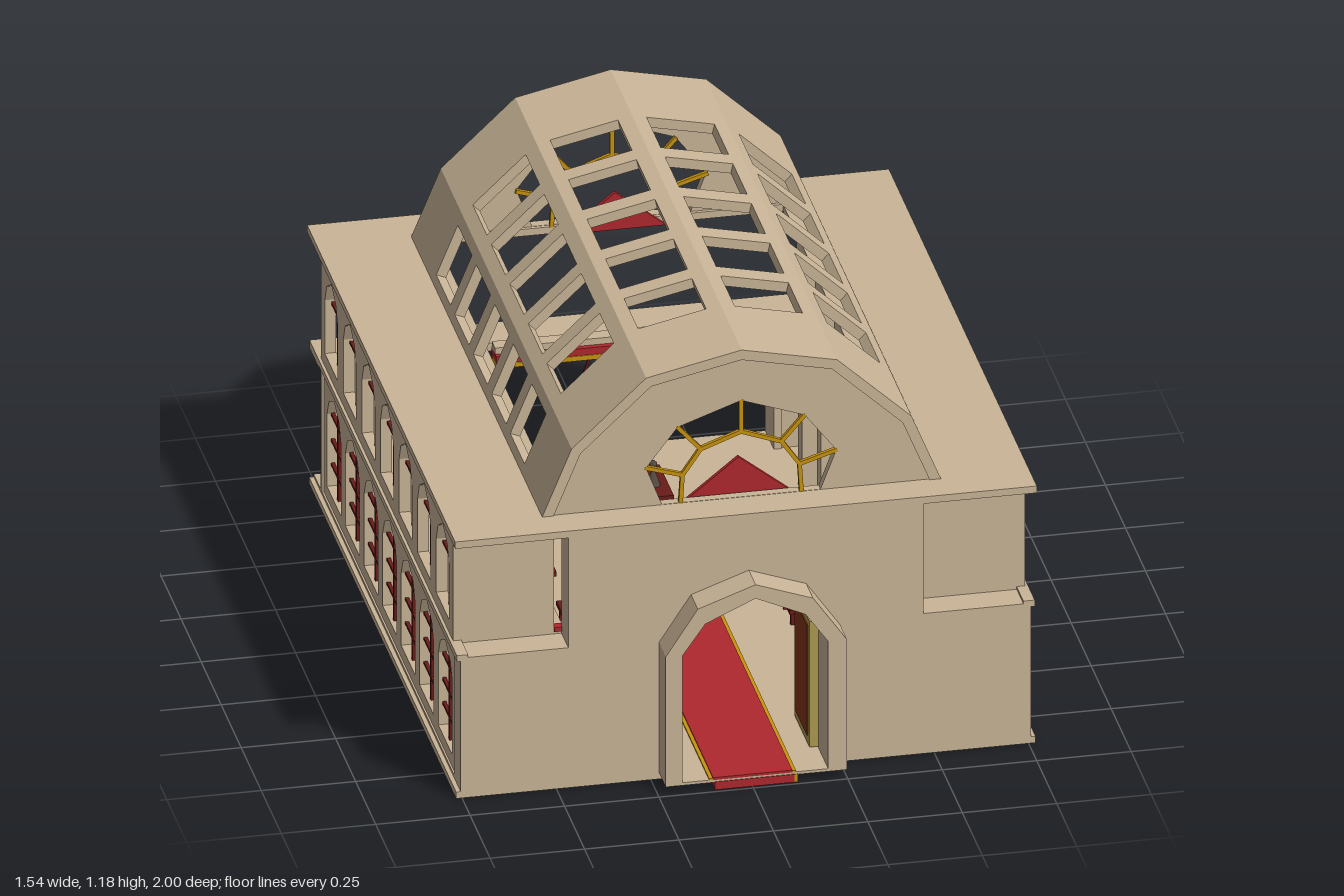
import * as THREE from 'three';

const mat = (name, color) => Object.assign(new THREE.MeshStandardMaterial({ color }), { name });

export function createModel() {
  const root = new THREE.Group();
  root.name = 'greatHall';
  const stone = mat('stone', 0xcbb698), red = mat('red', 0xb0282e), darkRed = mat('darkRed', 0x6a1c1a),
    gold = mat('gold', 0xc8940f), wood = mat('wood', 0x843418), brass = mat('brass', 0xb09a50),
    iron = mat('iron', 0x54493f);

  const add = (name, geo, m, parent = root) => {
    const mesh = new THREE.Mesh(geo, m);
    mesh.name = name;
    parent.add(mesh);
    return mesh;
  };
  // Box given by its lower and upper limits on each axis
  const box = (name, m, x0, x1, y0, y1, z0, z1, parent = root) => {
    const g = new THREE.BoxGeometry(x1 - x0, y1 - y0, z1 - z0);
    g.translate((x0 + x1) / 2, (y0 + y1) / 2, (z0 + z1) / 2);
    return add(name, g, m, parent);
  };
  const pts = a => a.map(p => new THREE.Vector2(p[0], p[1]));
  const shape = (outline, holes = []) => {
    const s = new THREE.Shape(pts(outline));
    holes.forEach(h => s.holes.push(new THREE.Path(pts(h))));
    return s;
  };
  const rect = (x0, x1, y0, y1) => [[x0, y0], [x1, y0], [x1, y1], [x0, y1]];
  const extrude = (s, depth) => new THREE.ExtrudeGeometry(s, { depth, bevelEnabled: false });
  // Faceted pointed arch
  const arch = (c, w, y0, spring, top) => [[c - w, y0], [c + w, y0], [c + w, spring],
    [c + w * 0.72, spring + (top - spring) * 0.6], [c, top],
    [c - w * 0.72, spring + (top - spring) * 0.6], [c - w, spring]];
  // Bar between two points of an xy plane
  const bar = (name, m, a, b, z, w, parent = root) => {
    const mesh = add(name, new THREE.BoxGeometry(Math.hypot(b[0] - a[0], b[1] - a[1]) + w * 0.5, w, w), m, parent);
    mesh.position.set((a[0] + b[0]) / 2, (a[1] + b[1]) / 2, z);
    mesh.rotation.z = Math.atan2(b[1] - a[1], b[0] - a[0]);
  };

  // Floor, base trim and carpet
  box('floor', stone, -0.755, 0.755, 0.003, 0.03, -0.93, 0.905);
  for (const s of [-1, 1]) box('baseTrim', stone, s * 0.757 - 0.01, s * 0.757 + 0.01, 0.003, 0.022, -0.93, 0.905);
  box('carpetBorder', gold, -0.115, 0.115, 0.03, 0.034, -0.58, 0.99);
  box('carpet', red, -0.105, 0.105, 0.03, 0.037, -0.58, 0.992);
  box('carpetFrontFold', red, -0.1, 0.11, 0.001, 0.024, 0.9, 0.992);
  box('carpetFoldBorder', gold, 0.11, 0.12, 0.001, 0.024, 0.9, 0.992);
  const under = add('carpetUnderside', new THREE.ShapeGeometry(
    shape([[-0.1, -0.9], [0.1, -0.9], [0.1, -0.05], [0.02, 0.5], [-0.02, 0.5], [-0.1, -0.05]])), red);
  under.geometry.rotateX(Math.PI / 2);
  under.geometry.scale(1, 1, -1);
  under.material = red;
  under.geometry.index.array.reverse();

  // Side walls with two rows of arched windows
  const centres = [0.69, 0.457, 0.226, -0.005, -0.237, -0.47, -0.7];
  const toSide = new THREE.Matrix4().makeBasis(
    new THREE.Vector3(0, 0, 1), new THREE.Vector3(0, 1, 0), new THREE.Vector3(-1, 0, 0));
  const lowerWall = extrude(shape(rect(-0.84, 0.83, 0.01, 0.41),
    centres.map(c => arch(c, 0.087, 0.065, 0.275, 0.355))), 0.03).applyMatrix4(toSide);
  const upperWall = extrude(shape(rect(-0.83, 0.82, 0.41, 0.74),
    centres.map(c => arch(c, 0.08, 0.455, 0.61, 0.695))), 0.03).applyMatrix4(toSide);
  for (const s of [-1, 1]) {
    add('lowerSideWall', lowerWall, stone).position.x = s > 0 ? 0.75 : -0.72;
    add('upperSideWall', upperWall, stone).position.x = s > 0 ? 0.757 : -0.727;
    const x = s * 0.735;
    box('stringCourse', stone, s * 0.75 - 0.015, s * 0.75 + 0.015, 0.4, 0.418, -0.93, 0.905);
    for (const c of centres) {
      const windowBar = (y0, y1, z0, z1) => box('windowBar', darkRed, x - 0.005, x + 0.005, y0, y1, z0, z1);
      windowBar(0.065, 0.35, c - 0.006, c + 0.006);
      windowBar(0.455, 0.69, c - 0.006, c + 0.006);
      for (const y of [0.13, 0.2, 0.275, 0.6]) windowBar(y - 0.004, y + 0.004, c - 0.083, c + 0.083);
    }
    // Gallery, its columns and the side doors inside
    box('gallery', stone, s * 0.6 - 0.14, s * 0.6 + 0.14, 0.39, 0.415, -0.83, 0.82);
    for (let i = 0; i < 6; i++) {
      const z = (centres[i] + centres[i + 1]) / 2;
      box('galleryPier', stone, s * 0.48 - 0.02, s * 0.48 + 0.02, 0.41, 0.735, z - 0.045, z + 0.045);
      box('aisleColumn', stone, s * 0.48 - 0.02, s * 0.48 + 0.02, 0.03, 0.4, z - 0.025, z + 0.025);
    }
    box('innerDoorFrame', gold, s * 0.5 - 0.006, s * 0.5 + 0.006, 0.03, 0.36, 0.59, 0.79);
    box('innerDoor', wood, s * 0.5 - 0.012, s * 0.5 + 0.012, 0.03, 0.345, 0.605, 0.775);
  }

  // Front wall with entrance; its upper corners step back
  const entry = [[-0.185, 0.03], [0.2, 0.03], [0.2, 0.4], [0.14, 0.485], [0.008, 0.545], [-0.125, 0.485], [-0.185, 0.4]];
  add('frontWall', extrude(shape([[-0.755, 0.01], [0.755, 0.01], [0.755, 0.41], [0.47, 0.41], [0.47, 0.74],
    [-0.47, 0.74], [-0.47, 0.41], [-0.755, 0.41]], [entry]), 0.085), stone).position.z = 0.82;
  box('frontCorner', stone, 0.45, 0.755, 0.41, 0.74, 0.79, 0.82);
  box('frontCorner', stone, -0.755, -0.49, 0.41, 0.74, 0.79, 0.82);
  box('cornerLintel', red, -0.51, -0.45, 0.705, 0.722, 0.8, 0.825);
  box('cornerSill', red, -0.49, -0.45, 0.418, 0.43, 0.8, 0.825);
  add('porch', extrude(shape([[-0.23, 0.022], [0.25, 0.022], [0.25, 0.4], [0.16, 0.53], [0.008, 0.585],
    [-0.145, 0.53], [-0.23, 0.4]], [entry]), 0.085), stone).position.z = 0.905;
  for (const s of [-1, 1]) {
    const x = 0.008 + s * 0.18;
    box('entranceDoor', brass, x - 0.012, x + 0.012, 0.035, 0.4, 0.68, 0.87);
    box('entranceDoorPanel', wood, x - 0.015, x + 0.015, 0.06, 0.38, 0.7, 0.85);
  }

  // Back wall, seen from outside, with recessed lower corners
  const backFace = (name, x0, x1, y0, y1, z) => {
    const g = new THREE.PlaneGeometry(x1 - x0, y1 - y0).rotateY(Math.PI);
    add(name, g, stone).position.set((x0 + x1) / 2, (y0 + y1) / 2, z);
  };
  backFace('lowerBackWall', -0.46, 0.46, 0.003, 0.41, -0.93);
  backFace('upperBackWall', -0.757, 0.757, 0.41, 0.75, -0.83);
  box('backLedge', stone, -0.765, 0.765, 0.395, 0.418, -0.935, -0.82);
  for (const s of [-1, 1]) {
    box('backFlank', stone, s * 0.45 - 0.01, s * 0.45 + 0.01, 0.01, 0.4, -0.93, -0.82);
    add('backCornerWall', extrude(shape(rect(s * 0.6 - 0.155, s * 0.6 + 0.155, 0.01, 0.4),
      [arch(s * 0.61, 0.085, 0.03, 0.27, 0.335)]), 0.02), stone).position.z = -0.845;
  }
  // Back doors: one closed, one standing open
  const backDoor = (x, z, turn) => {
    const door = new THREE.Group();
    door.name = 'backDoor';
    const frame = arch(0.085, 0.088, 0.03, 0.27, 0.335), leaf = arch(0.085, 0.072, 0.045, 0.265, 0.318);
    add('doorFrame', extrude(shape(frame), 0.014), gold, door).position.z = -0.007;
    add('doorLeaf', extrude(shape(leaf), 0.022), wood, door).position.z = -0.011;
    for (const y of [0.1, 0.24]) box('doorHinge', gold, 0.015, 0.11, y - 0.006, y + 0.006, -0.014, 0.014, door);
    door.position.set(x, 0, z);
    door.rotation.y = turn;
    root.add(door);
  };
  backDoor(0.525, -0.835, 0);
  backDoor(-0.535, -0.855, Math.PI * 0.675);

  // Flat roof with an opening under the vault
  const roof = extrude(shape([[-0.77, -0.94], [-0.46, -0.94], [-0.46, -0.84], [0.46, -0.84], [0.46, -0.94],
    [0.77, -0.94], [0.77, 0.907], [-0.77, 0.907]], [rect(-0.46, 0.46, -0.8, 0.8)]), 0.02).rotateX(Math.PI / 2);
  add('flatRoof', roof, stone).position.y = 0.75;

  // Barrel vault: six flat panels, each with five openings
  const vault = new THREE.Group();
  vault.name = 'vault';
  vault.position.x = 0.008;
  root.add(vault);
  const half = [[0.53, 0.745], [0.45, 0.94], [0.253, 1.125], [0, 1.18]];
  const mirrored = a => [...a, ...a.slice(0, -1).reverse().map(p => [-p[0], p[1]])];
  const ribs = mirrored(half), T = 0.028;
  for (let i = 0; i < 6; i++) {
    const [a, b] = [ribs[i], ribs[i + 1]];
    const L = Math.hypot(b[0] - a[0], b[1] - a[1]);
    const u = new THREE.Vector3((b[0] - a[0]) / L, (b[1] - a[1]) / L, 0), z = new THREE.Vector3(0, 0, 1);
    const n = u.clone().cross(z);
    const lo = i < 3 ? 0.14 : 0.15, hi = i < 3 ? 0.85 : 0.86;
    const holes = [-2, -1, 0, 1, 2].map(k => rect(L * lo, L * hi, k * 0.231 - 0.088, k * 0.231 + 0.088));
    const g = extrude(shape(rect(0, L, -0.82, 0.815), holes), T).translate(0, 0, -T);
    g.applyMatrix4(new THREE.Matrix4().makeBasis(u, z, n).setPosition(a[0], a[1], 0));
    add('vaultPanel', g, stone, vault);
  }
  // Gable ends with fan windows
  const fan = mirrored([[0.21, 0.75], [0.252, 0.86], [0.168, 0.97], [0, 1.03]]);
  const inner = mirrored([[0.16, 0.75], [0.155, 0.83], [0.107, 0.9], [0, 0.94]]);
  const gable = extrude(shape(ribs.map(p => [p[0] * 0.985, p[1] - 0.012]), [fan.map(p => [p[0], p[1] + 0.001])]), 0.025);
  for (const s of [-1, 1]) {
    add('gable', gable, stone, vault).position.z = s > 0 ? 0.785 : -0.835;
    const z = s * 0.805;
    for (let i = 0; i < 6; i++) {
      bar('fanRing', gold, inner[i], inner[i + 1], z, 0.011, vault);
      if (i > 0) bar('fanSpoke', gold, inner[i], fan[i], z, 0.011, vault);
    }
    add('fanPediment', extrude(shape([[-0.135, 0.742], [0.135, 0.742], [0, 0.85]]), 0.012), red, vault).position.z = s * 0.77 - 0.006;
  }

  // Canopy, dais, throne and banners at the far end
  box('canopy', red, -0.35, 0.35, 0.492, 0.512, -0.62, -0.56);
  box('canopyTrim', gold, -0.35, 0.35, 0.478, 0.492, -0.615, -0.558);
  box('canopyFringe', stone, -0.35, 0.35, 0.512, 0.53, -0.615, -0.575);
  box('dais', darkRed, -0.11, 0.12, 0.03, 0.06, -0.74, -0.56);
  box('throneSeat', gold, -0.035, 0.045, 0.06, 0.095, -0.7, -0.62);
  box('throneBack', gold, -0.03, 0.04, 0.06, 0.14, -0.71, -0.69);
  const figure = (x, z, h, m) => {
    add('figureBody', new THREE.ConeGeometry(h * 0.27, h * 0.75, 8), m).position.set(x, 0.055 + h * 0.37, z);
    add('figureHead', new THREE.SphereGeometry(h * 0.14, 8, 6), iron).position.set(x, 0.055 + h * 0.8, z);
  };
  figure(0.002, -0.63, 0.09, darkRed);
  figure(-0.075, -0.63, 0.065, iron);
  figure(0.08, -0.63, 0.08, iron);
  for (const x of [-0.047, 0.09]) {
    const banner = w => shape([[x - w, 0.335], [x - w, 0.155], [x - w * 0.5, 0.14], [x, 0.12],
      [x + w * 0.5, 0.14], [x + w, 0.155], [x + w, 0.335]].reverse());
    add('bannerBorder', extrude(banner(0.037), 0.004), gold).position.z = -0.76;
    add('banner', extrude(banner(0.031), 0.008), red).position.z = -0.762;
    box('bannerBand', gold, x - 0.031, x + 0.031, 0.24, 0.29, -0.758, -0.75);
    box('bannerBand', gold, x - 0.031, x + 0.031, 0.17, 0.195, -0.758, -0.75);
    for (const s of [-1, 1]) bar('bannerCord', darkRed, [x + s * 0.03, 0.335], [x + s * 0.012, 0.385], -0.758, 0.006);
  }

  // Benches along the carpet and a few seated figures
  for (const [x, z0, z1] of [[-0.3, -0.28, -0.16], [0.32, -0.28, -0.16], [-0.285, 0, 0.19], [-0.285, 0.29, 0.48],
    [0.295, 0.06, 0.18], [0.295, 0.27, 0.48], [0.215, -0.28, -0.17], [-0.2, -0.28, -0.17]]) {
    const w = Math.abs(x) < 0.25 ? 0.008 : 0.025;
    box('benchSeat', darkRed, x - w, x + w, 0.065, 0.078, z0, z1);
    for (const z of [z0 + 0.01, z1 - 0.02]) box('benchLeg', darkRed, x - w * 0.8, x + w * 0.8, 0.03, 0.066, z, z + 0.01);
  }
  for (const z of [-0.26, -0.22, -0.18]) figure(0.28, z, 0.06, iron);
  return root;
}
